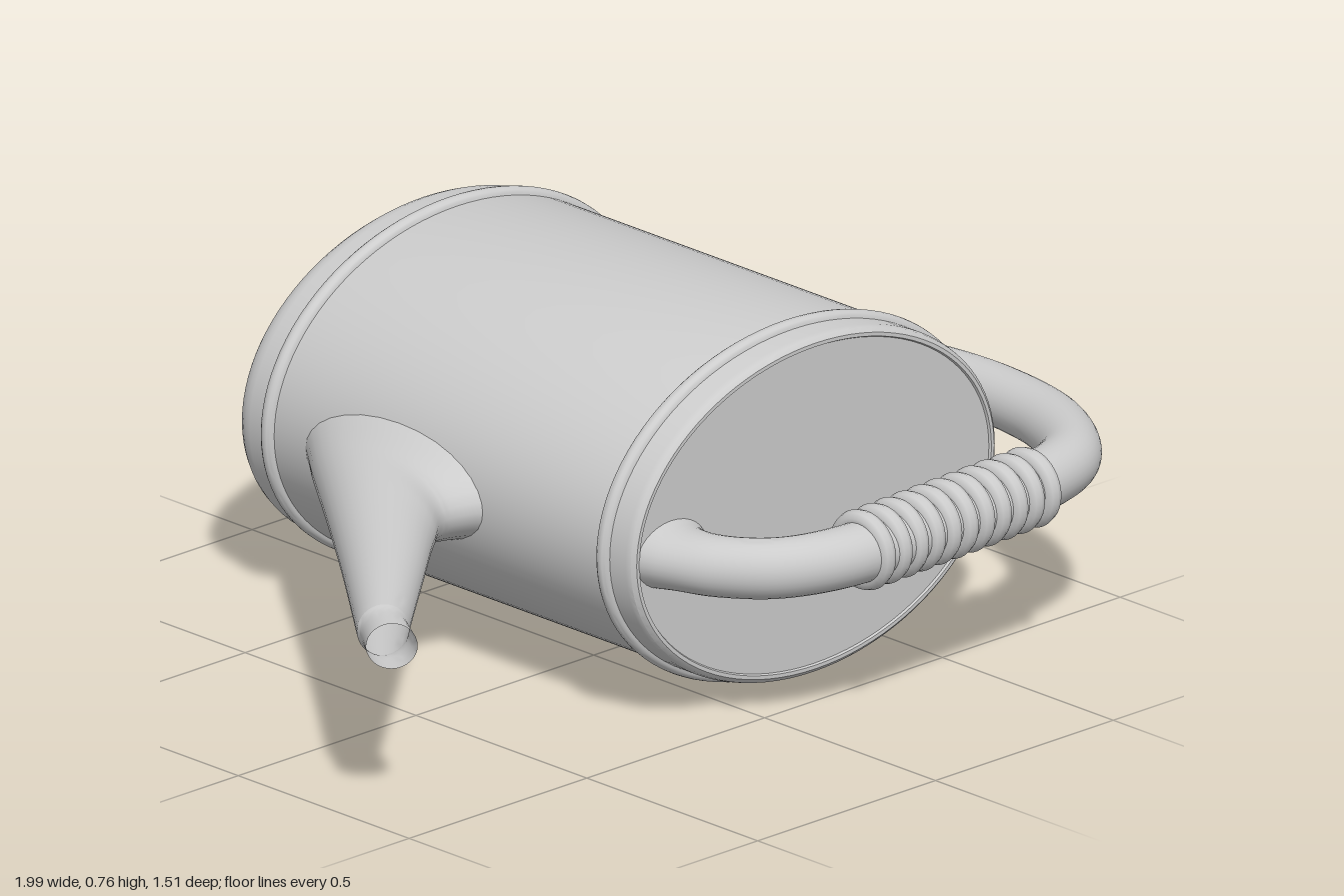
import * as THREE from 'three';
import { toCreasedNormals } from 'three/addons/utils/BufferGeometryUtils.js';

const CX = 0.22, CY = 0.38, RX = 0.515, RY = 0.365;

function mesh(name, geometry, doubleSided = false) {
  const material = new THREE.MeshStandardMaterial({
    color: 0xcccccc,
    side: doubleSided ? THREE.DoubleSide : THREE.FrontSide,
  });
  const m = new THREE.Mesh(geometry, material);
  m.name = name;
  return m;
}

// Skin a surface over closed rings; ringPoint(i, angle) gives a Vector3
function skin(rings, sides, ringPoint, crease = 0.6) {
  const pos = [], index = [];
  for (let i = 0; i < rings; i++) {
    for (let j = 0; j < sides; j++) {
      pos.push(...ringPoint(i, (j / sides) * Math.PI * 2).toArray());
      if (i === rings - 1) continue;
      const k = (j + 1) % sides;
      const a = i * sides + j, b = i * sides + k;
      index.push(a, b, b + sides, a, b + sides, a + sides);
    }
  }
  const g = new THREE.BufferGeometry();
  g.setAttribute('position', new THREE.Float32BufferAttribute(pos, 3));
  g.setIndex(index);
  return toCreasedNormals(g, crease);
}

// Oval sections along the z axis; profile entries are [z, offset from body wall]
function ovalSkin(profile, sides = 96) {
  return skin(profile.length, sides, (i, t) => {
    const [z, o] = profile[i];
    return new THREE.Vector3(CX + (RX + o) * Math.cos(t), CY + (RY + o) * Math.sin(t), z);
  });
}

// Oval tube in the y = CY plane; sections are [ax, az, bx, bz, halfHeight],
// where a and b are the two edges seen from above
function edgeTube(sections, steps, sides = 32) {
  const edge = (k) => new THREE.CatmullRomCurve3(
    sections.map((s) => new THREE.Vector3(s[k], s[4], s[k + 1])));
  const ca = edge(0), cb = edge(2);
  return skin(steps + 1, sides, (i, t) => {
    const a = ca.getPoint(i / steps), b = cb.getPoint(i / steps);
    const p = a.clone().lerp(b, 0.5 + 0.5 * Math.cos(t));
    p.y = CY + a.y * Math.sin(t);
    return p;
  }, 0.8);
}

function makeBody() {
  const profile = [[-0.76, -RY], [-0.76, -0.075]];
  for (let i = 0; i <= 7; i++) {
    const a = (i / 7) * Math.PI / 2;
    profile.push([-0.70 - 0.06 * Math.cos(a), -0.065 + 0.065 * Math.sin(a)]);
  }
  profile.push([0.40, 0], [0.412, -0.003], [0.42, -0.012], [0.42, -0.02], [0.41, -0.025],
    [-0.72, -0.025], [-0.72, -RY]);
  return mesh('body', ovalSkin(profile));
}

function makeRib(name, z) {
  const profile = [];
  for (let i = 0; i <= 8; i++) {
    const a = (i / 8) * Math.PI;
    profile.push([z - 0.017 * Math.cos(a), -0.002 + 0.017 * Math.sin(a)]);
  }
  return mesh(name, ovalSkin(profile));
}

// Top plate with a filling opening over its left half
function makeTopPlate() {
  const shape = new THREE.Shape();
  shape.absellipse(CX, CY, RX - 0.018, RY - 0.018, 0, Math.PI * 2);
  const hole = new THREE.Path();
  const a0 = 1.46, n = 40;
  for (let i = 0; i <= n; i++) {
    const a = -a0 + (2 * a0 * i) / n;
    const x = CX + 0.467 * Math.cos(a), y = CY + 0.337 * Math.sin(a);
    if (i) hole.lineTo(x, y); else hole.moveTo(x, y);
  }
  hole.bezierCurveTo(0.225, CY + 0.33, 0.24, CY + 0.25, 0.265, CY + 0.12);
  hole.lineTo(0.265, CY - 0.12);
  hole.bezierCurveTo(0.24, CY - 0.25, 0.225, CY - 0.33,
    CX + 0.467 * Math.cos(a0), CY - 0.337 * Math.sin(a0));
  const g = new THREE.ExtrudeGeometry(shape, { depth: 0.02, bevelEnabled: false, curveSegments: 48 });
  g.translate(0, 0, 0.395);
  return mesh('topPlate', toCreasedNormals(g, 0.6));
}

function makeSpout() {
  const group = new THREE.Group();
  group.name = 'spout';
  group.add(mesh('spoutCone', edgeTube([
    [-0.265, -0.58, -0.265, 0.0, 0.115],
    [-0.30, -0.53, -0.31, -0.025, 0.108],
    [-0.38, -0.43, -0.38, -0.04, 0.1],
    [-0.49, -0.285, -0.46, 0.015, 0.093],
    [-0.70, -0.015, -0.62, 0.15, 0.076],
    [-0.95, 0.295, -0.86, 0.355, 0.055],
  ], 40), true));
  group.add(mesh('nozzle', edgeTube([
    [-0.95, 0.295, -0.86, 0.355, 0.055],
    [-0.955, 0.31, -0.872, 0.367, 0.051],
    [-0.998, 0.372, -0.918, 0.44, 0.049],
  ], 8), true));
  return group;
}

function makeHandle() {
  const group = new THREE.Group();
  group.name = 'handle';
  // Outer edge first, inner edge second
  group.add(mesh('handleTube', edgeTube([
    [-0.285, 0.39, -0.075, 0.405, 0.075],
    [-0.265, 0.46, -0.10, 0.445, 0.065],
    [-0.22, 0.56, -0.10, 0.51, 0.063],
    [-0.12, 0.67, -0.05, 0.575, 0.063],
    [0.05, 0.735, 0.07, 0.605, 0.063],
    [0.35, 0.725, 0.34, 0.594, 0.063],
    [0.64, 0.70, 0.62, 0.57, 0.063],
    [0.82, 0.63, 0.75, 0.52, 0.063],
    [0.95, 0.45, 0.83, 0.39, 0.063],
    [0.993, 0.22, 0.865, 0.20, 0.063],
    [0.975, 0.02, 0.855, 0.03, 0.063],
    [0.91, -0.17, 0.82, -0.09, 0.064],
    [0.82, -0.31, 0.765, -0.14, 0.07],
    [0.715, -0.42, 0.715, -0.13, 0.078],
  ], 110)));
  // Ribbed grip
  const start = new THREE.Vector3(0.115, CY, 0.668), end = new THREE.Vector3(0.605, CY, 0.642);
  const axis = end.clone().sub(start).normalize();
  const ring = new THREE.TorusGeometry(0.064, 0.021, 10, 36);
  const count = 11;
  for (let i = 0; i < count; i++) {
    const r = mesh('gripRing', ring);
    r.position.lerpVectors(start, end, i / (count - 1));
    r.quaternion.setFromUnitVectors(new THREE.Vector3(0, 0, 1), axis);
    group.add(r);
  }
  return group;
}

export function createModel() {
  const group = new THREE.Group();
  group.name = 'wateringCan';
  group.add(
    makeBody(),
    makeRib('frontRib', 0.337),
    makeRib('backRib', -0.645),
    makeTopPlate(),
    makeSpout(),
    makeHandle(),
  );
  return group;
}
